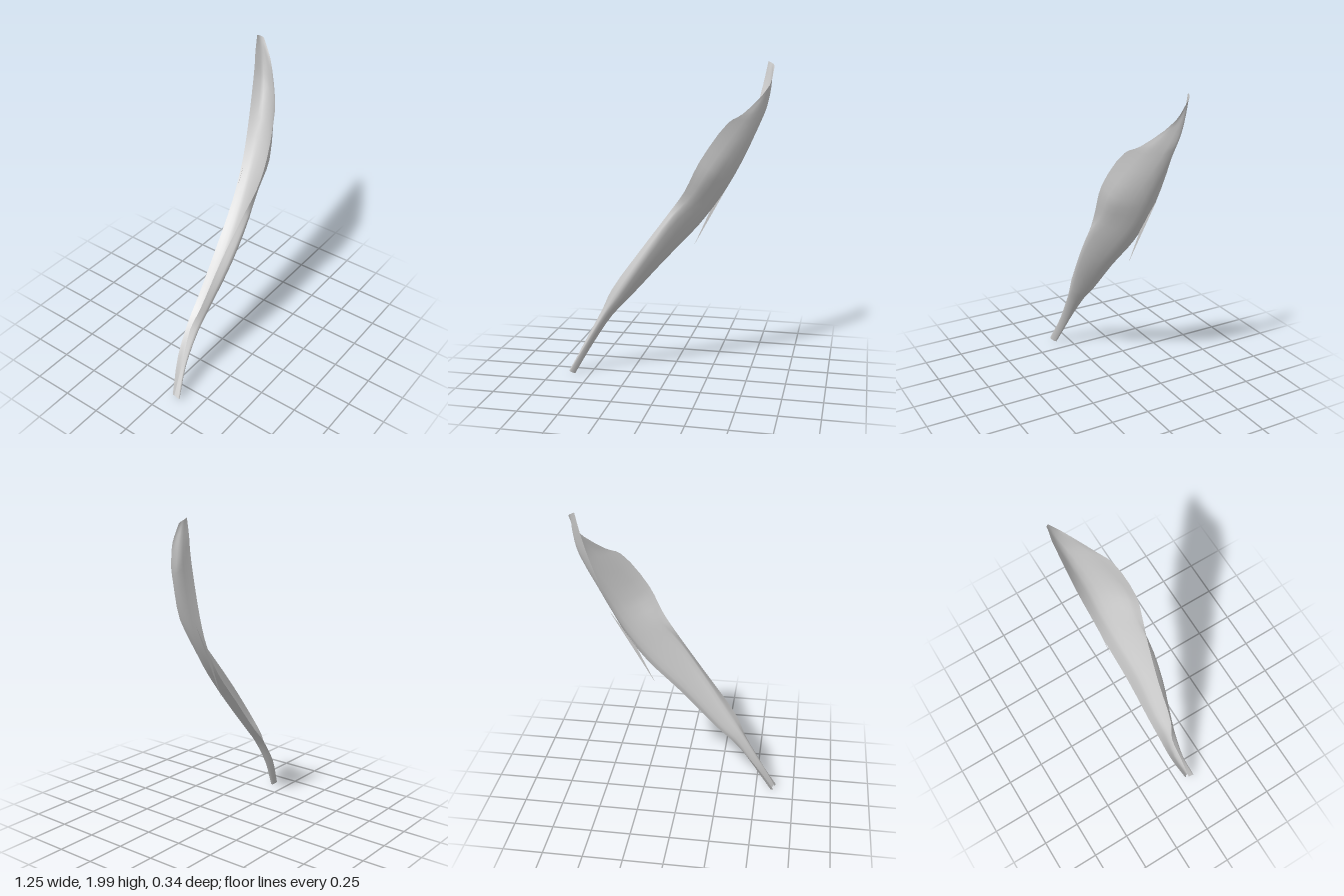
import * as THREE from 'three';

const V = (p) => new THREE.Vector3(...p);

// Cross-sections from stem to tip: curled lip, front shoulder, keel, back edge
const sections = [
  [[-0.628, 0.04, 0.085], [-0.63, 0.03, 0.125], [-0.6, 0.005, 0.095], [-0.62, 0.025, 0.065]],
  [[-0.53, 0.23, 0.075], [-0.52, 0.22, 0.097], [-0.49, 0.2, 0.06], [-0.495, 0.24, 0.015]],
  [[-0.42, 0.44, 0.06], [-0.4, 0.42, 0.1], [-0.36, 0.4, 0.06], [-0.35, 0.43, -0.007]],
  [[-0.35, 0.58, 0.09], [-0.31, 0.54, 0.115], [-0.25, 0.52, 0.05], [-0.24, 0.54, -0.017]],
  [[-0.15, 0.86, 0.11], [-0.12, 0.82, 0.155], [-0.03, 0.77, 0.05], [-0.02, 0.79, -0.037]],
  [[0.03, 1.1, 0.14], [0.06, 1.07, 0.16], [0.18, 1.0, 0.02], [0.2, 1.03, -0.068]],
  [[0.13, 1.24, 0.163], [0.2, 1.2, 0.13], [0.325, 1.19, -0.01], [0.325, 1.22, -0.09]],
  [[0.22, 1.42, 0.17], [0.31, 1.36, 0.13], [0.44, 1.39, -0.03], [0.41, 1.4, -0.113]],
  [[0.38, 1.65, 0.11], [0.48, 1.62, 0.03], [0.575, 1.7, -0.1], [0.52, 1.73, -0.148]],
  [[0.46, 1.7, 0.055], [0.545, 1.735, -0.02], [0.595, 1.78, -0.12], [0.545, 1.83, -0.157]],
  [[0.6, 1.86, -0.08], [0.6, 1.86, -0.095], [0.605, 1.88, -0.14], [0.56, 1.9, -0.165]],
  [[0.62, 1.97, -0.145], [0.615, 1.98, -0.155], [0.6, 1.99, -0.165], [0.58, 2, -0.168]],
];

// Thin curved sheet: a grid bent over the cross-sections
function bladeGeometry(across = 10, perSection = 3) {
  const rails = [0, 1, 2, 3].map((i) => new THREE.CatmullRomCurve3(sections.map((s) => V(s[i])), false, 'centripetal'));
  const along = (sections.length - 1) * perSection;
  const geometry = new THREE.PlaneGeometry(1, 1, across, along);
  const position = geometry.attributes.position;
  for (let j = 0; j <= along; j++) {
    const rib = new THREE.CatmullRomCurve3(rails.map((r) => r.getPoint(j / along)), false, 'centripetal');
    for (let i = 0; i <= across; i++) {
      const p = rib.getPoint(i / across);
      position.setXYZ(j * (across + 1) + i, p.x, p.y, p.z);
    }
  }
  geometry.computeVertexNormals();
  return geometry;
}

export function createModel() {
  const group = new THREE.Group();
  group.name = 'leaf';
  const material = new THREE.MeshStandardMaterial({ color: 0xcccccc, side: THREE.DoubleSide });

  const blade = new THREE.Mesh(bladeGeometry(), material);
  blade.name = 'blade';
  group.add(blade);

  // Loose sliver hanging from the back edge
  const sliverGeometry = new THREE.BufferGeometry().setFromPoints(
    [[0.15, 0.86, -0.055], [0.42, 1.36, -0.09], [0.27, 1.13, -0.07]].map(V));
  sliverGeometry.computeVertexNormals();
  const sliver = new THREE.Mesh(sliverGeometry, material);
  sliver.name = 'sliver';
  group.add(sliver);
  return group;
}
